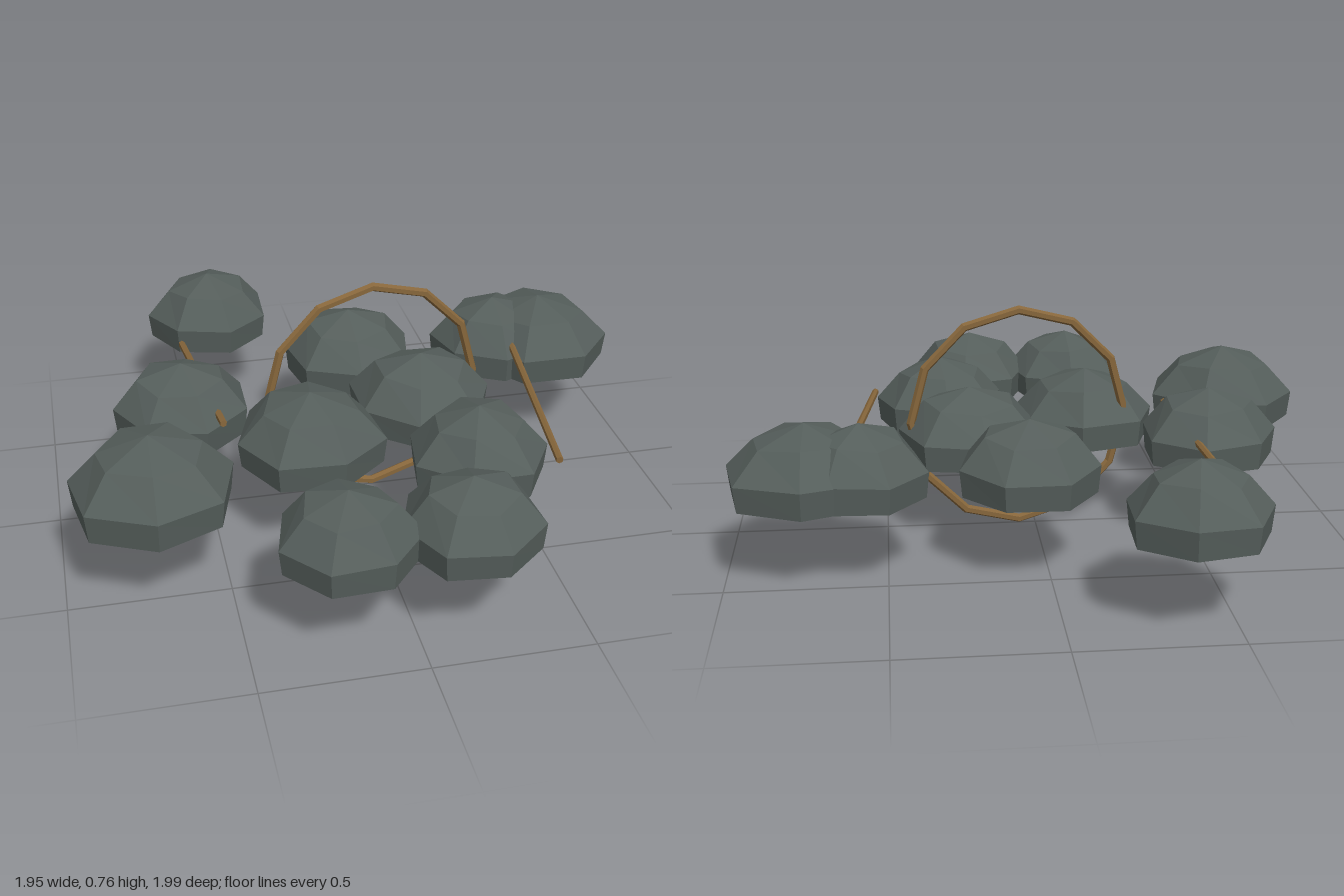
import * as THREE from 'three';

const rockMaterial = new THREE.MeshStandardMaterial({ name: 'slateGrey', color: 0x555e5b, flatShading: true });
const woodMaterial = new THREE.MeshStandardMaterial({ name: 'driedWood', color: 0x86663b, flatShading: true });

const BASE = 0.255;

// x, z, radius, top height, direction of the first corner in degrees
const ROCKS = [
  [-0.39, -0.80, 0.222, 0.485, 25],
  [0.055, -0.38, 0.228, 0.485, -14],
  [0.58, -0.37, 0.218, 0.485, -12],
  [0.745, -0.35, 0.258, 0.485, 14],
  [-0.565, -0.095, 0.226, 0.487, 25],
  [-0.715, 0.38, 0.26, 0.505, -12],
  [-0.19, 0.19, 0.243, 0.487, 21],
  [0.22, 0.0, 0.24, 0.485, 1],
  [0.305, 0.39, 0.226, 0.487, 7],
  [-0.19, 0.765, 0.217, 0.48, 12],
  [0.175, 0.77, 0.217, 0.48, 22],
];

// Seven-sided flat-bottomed dome, gently uneven around its rim
function makeRock([x, z, r, top, phase], i) {
  const h = top - BASE;
  const profile = [[0, 0], [0.96, 0], [1, 0.37], [0.64, 0.78], [0, 1]]
    .map(([pr, py]) => new THREE.Vector2(pr * r, py * h));
  const geometry = new THREE.LatheGeometry(profile, 7);
  const p = geometry.attributes.position;
  for (let v = 0; v < p.count; v++) {
    const px = p.getX(v), py = p.getY(v), pz = p.getZ(v);
    if (Math.hypot(px, pz) < 1e-4) continue;
    const a = Math.atan2(pz, px);
    const swell = 1 + 0.025 * Math.sin(3 * a + i * 1.7);
    const lift = 1 + 0.05 * Math.cos(2 * a + i * 2.3);
    p.setXYZ(v, px * swell, py * lift, pz * swell);
  }
  geometry.computeVertexNormals();
  const rock = new THREE.Mesh(geometry, rockMaterial);
  rock.name = 'rock' + (i + 1);
  rock.position.set(x, BASE, z);
  rock.rotation.y = THREE.MathUtils.degToRad(90 - phase);
  return rock;
}

// Straight stick between two points
function makeStick(name, from, to) {
  const a = new THREE.Vector3(...from), b = new THREE.Vector3(...to);
  const dir = b.clone().sub(a);
  const stick = new THREE.Mesh(new THREE.CylinderGeometry(0.012, 0.012, dir.length(), 6), woodMaterial);
  stick.name = name;
  stick.position.copy(a).add(b).multiplyScalar(0.5);
  stick.quaternion.setFromUnitVectors(new THREE.Vector3(0, 1, 0), dir.normalize());
  return stick;
}

export function createModel() {
  const model = new THREE.Group();
  model.name = 'rocksAndTwigs';

  const rocks = new THREE.Group();
  rocks.name = 'rocks';
  ROCKS.forEach((spec, i) => rocks.add(makeRock(spec, i)));
  model.add(rocks);

  // Upright twelve-sided hoop passing through the rocks
  const hoop = new THREE.Mesh(new THREE.TorusGeometry(0.363, 0.015, 6, 12), woodMaterial);
  hoop.name = 'hoop';
  hoop.position.set(0.055, 0.378, 0);
  hoop.rotation.y = 0.125;
  model.add(hoop);

  // Loose sticks at either side
  model.add(makeStick('leftStick', [0.535, 0.33, 0.51], [0.605, 0.372, -0.2]));
  model.add(makeStick('rightStick', [-0.52, 0.34, -0.53], [-0.46, 0.375, 0.135]));

  return model;
}
